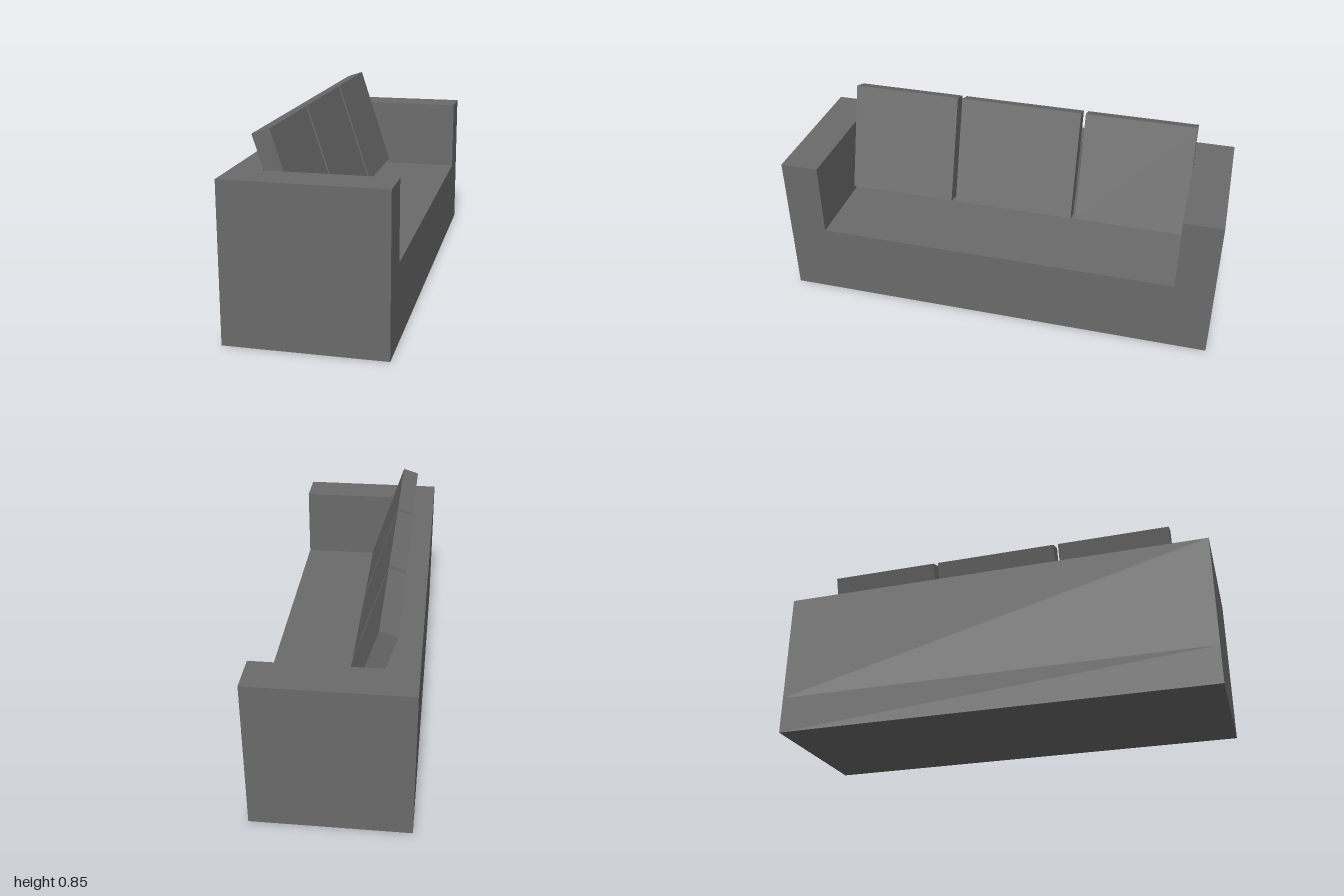
import * as THREE from 'three';

export function createModel() {
  const sofa = new THREE.Group();
  sofa.name = 'sofa';
  const material = new THREE.MeshStandardMaterial({ color: 0x6a6a6a, flatShading: true });

  // Box given by its [min, max] range on each axis
  function block(name, [x0, x1], [y0, y1], [z0, z1]) {
    const mesh = new THREE.Mesh(new THREE.BoxGeometry(x1 - x0, y1 - y0, z1 - z0), material);
    mesh.position.set((x0 + x1) / 2, (y0 + y1) / 2, (z0 + z1) / 2);
    mesh.name = name;
    sofa.add(mesh);
    return mesh;
  }

  const depth = 0.341, baseTop = 0.17, seatTop = 0.34, top = 0.682;
  const backFront = -0.21, armInner = 0.826;

  // Frame: the seat faces +x
  block('base', [-depth, depth], [0, baseTop], [-1, 1]);
  block('backrest', [-depth, backFront], [baseTop, top], [-1, 1]);
  block('seat', [backFront, depth], [baseTop, seatTop], [-armInner, armInner]);
  block('armFront', [backFront, depth], [baseTop, top], [armInner, 1]);
  block('armRear', [backFront, depth], [baseTop, top], [-1, -armInner]);

  // Back cushions leaning on the backrest
  const cushions = [[-0.825, -0.31], [-0.288, 0.288], [0.31, 0.825]];
  for (const range of cushions) {
    const cushion = block('backCushion', [-0.174, -0.096], [0.339, 0.851], range);
    cushion.rotation.z = THREE.MathUtils.degToRad(18);
  }

  return sofa;
}
